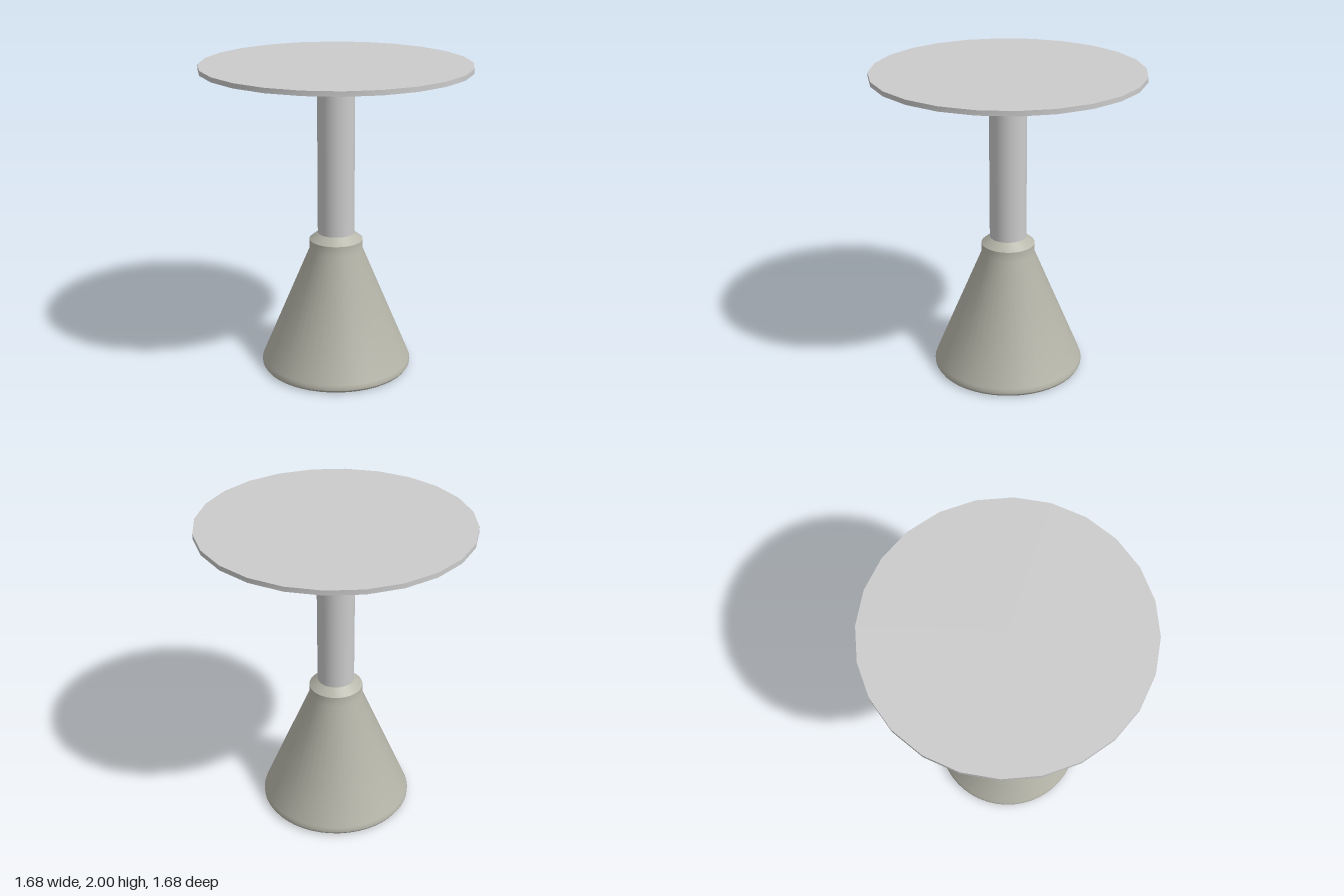
import * as THREE from 'three';
import { toCreasedNormals } from 'three/addons/utils/BufferGeometryUtils.js';

export function createModel() {
  const model = new THREE.Group();
  const metal = new THREE.MeshStandardMaterial({ color: 0xcccccc });
  const concrete = new THREE.MeshStandardMaterial({ color: 0xb8b7ab });

  const add = (name, geometry, material, parent = model) => {
    const mesh = new THREE.Mesh(geometry, material);
    mesh.name = name;
    parent.add(mesh);
    return mesh;
  };

  // Conical base with rounded foot and bevelled collar
  const profile = [
    [0, 0], [0.465, 0], [0.48, 0.006], [0.489, 0.02], [0.49, 0.035], [0.483, 0.055],
    [0.172, 0.8], [0.172, 0.865], [0.118, 0.91], [0, 0.91],
  ].map(([r, y]) => new THREE.Vector2(r, y));
  add('base', toCreasedNormals(new THREE.LatheGeometry(profile, 48), 0.5), concrete);

  // Column
  const column = add('column', new THREE.CylinderGeometry(0.118, 0.118, 1.01, 40), metal);
  column.position.y = 1.41;

  // Thin faceted round top
  const top = add('tabletop',
    toCreasedNormals(new THREE.CylinderGeometry(0.846, 0.846, 0.03, 24, 1, false, Math.PI / 24), 0.5), metal);
  top.position.y = 1.985;

  // Four-armed bracket: a hub with filleted inner corners and tapering arms
  const bracket = new THREE.Group();
  bracket.name = 'bracket';
  model.add(bracket);
  const w = 0.07, h = 0.12, f = h - w;

  const cross = new THREE.Shape();
  cross.moveTo(h, -w);
  for (let i = 0; i < 4; i++) {
    const a = i * Math.PI / 2;
    const at = (x, y) => [x * Math.cos(a) - y * Math.sin(a), x * Math.sin(a) + y * Math.cos(a)];
    cross.lineTo(...at(h, w));
    cross.absarc(...at(h, h), f, a - Math.PI / 2, a - Math.PI, true);
  }
  const hub = new THREE.ExtrudeGeometry(cross, { depth: 0.06, bevelEnabled: false, curveSegments: 6 });
  hub.rotateX(-Math.PI / 2);
  hub.translate(0, 1.912, 0);
  add('bracketHub', toCreasedNormals(hub, 0.5), metal, bracket);

  const side = new THREE.Shape([
    [h, 1.912], [0.3, 1.922], [0.555, 1.945], [0.555, 1.972], [h, 1.972],
  ].map(([x, y]) => new THREE.Vector2(x, y)));
  const arm = new THREE.ExtrudeGeometry(side, { depth: 2 * w, bevelEnabled: false });
  arm.translate(0, 0, -w);
  for (let i = 0; i < 4; i++) add('bracketArm', arm, metal, bracket).rotation.y = i * Math.PI / 2;

  return model;
}
